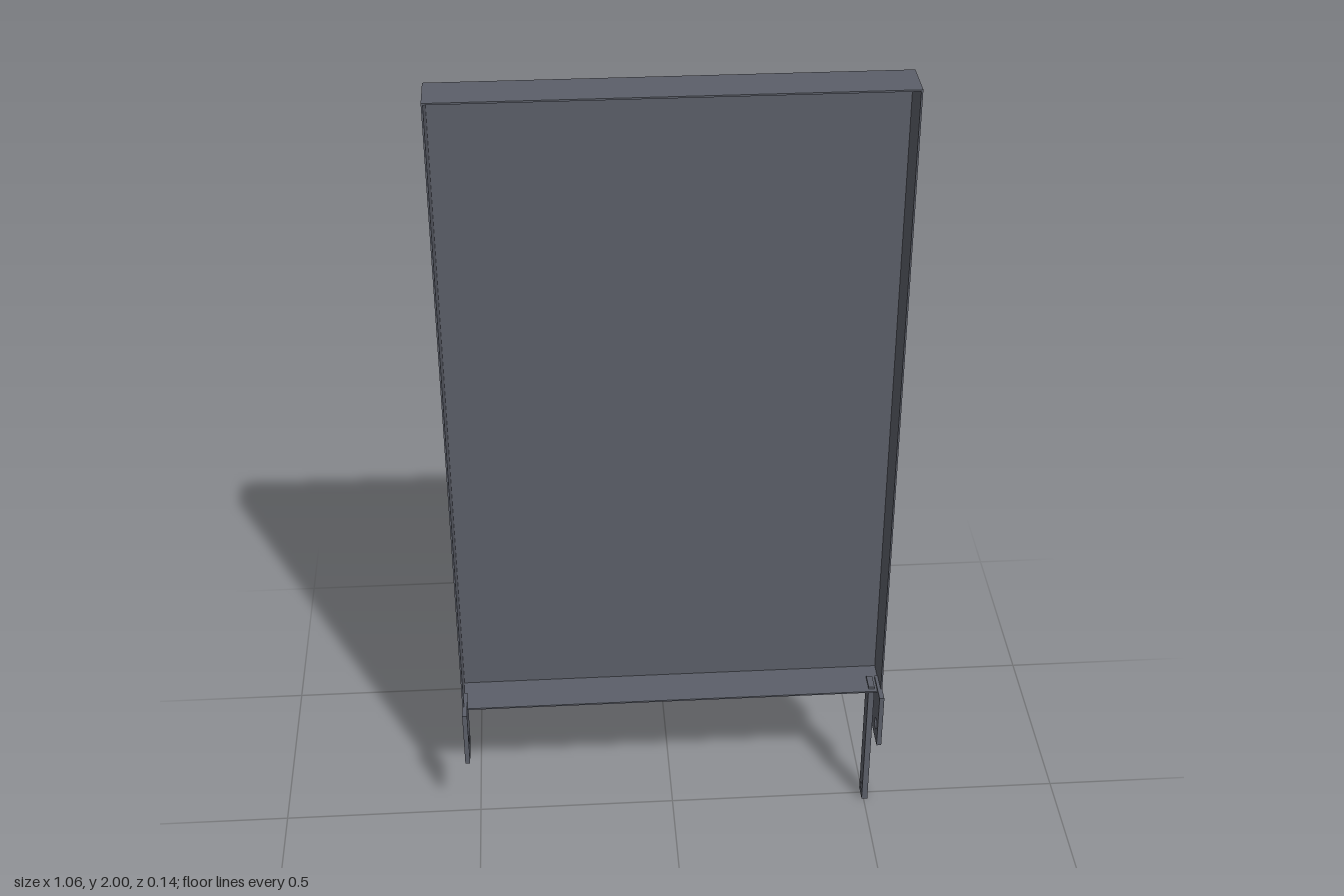
import * as THREE from 'three';

export function createModel() {
  const model = new THREE.Group();
  const steel = new THREE.MeshStandardMaterial({ color: 0x5c5f69 });
  steel.name = 'slate grey metal';

  const add = (parent, name, geometry) => {
    const mesh = new THREE.Mesh(geometry, steel);
    mesh.name = name;
    parent.add(mesh);
  };

  // Box given by its minimum and maximum corners
  const block = (x0, x1, y0, y1, z0, z1) =>
    new THREE.BoxGeometry(x1 - x0, y1 - y0, z1 - z0)
      .translate((x0 + x1) / 2, (y0 + y1) / 2, (z0 + z1) / 2);

  // Upright strap in the zy plane with one round bolt hole
  const strap = (x0, x1, y0, y1, z0, z1, holeZ, holeY, holeR) => {
    const shape = new THREE.Shape();
    shape.moveTo(z0, y0).lineTo(z1, y0).lineTo(z1, y1).lineTo(z0, y1).closePath();
    const hole = new THREE.Path();
    hole.absarc(holeZ, holeY, holeR, 0, Math.PI * 2, true);
    shape.holes.push(hole);
    return new THREE.ExtrudeGeometry(shape, { depth: x1 - x0, bevelEnabled: false, curveSegments: 16 })
      .rotateY(-Math.PI / 2)
      .translate(x1, 0, 0);
  };

  // Sheet metal tray, open to the front
  const W = 0.528, T = 0.004, bottom = 0.365, top = 2, back = -0.072, front = 0.035;
  const tray = new THREE.Group();
  tray.name = 'panelTray';
  model.add(tray);
  add(tray, 'backSheet', block(-W, W, bottom, top, back, back + T));
  add(tray, 'topFlange', block(-W, W, top - T, top, back + T, front));
  add(tray, 'bottomFlange', block(-W, W, bottom, bottom + T, back + T, front));
  add(tray, 'leftFlange', block(W - T, W, bottom + T, top - T, back + T, front));
  add(tray, 'rightFlange', block(-W, -W + T, bottom + T, top - T, back + T, front));

  // Hinge brackets at both lower corners
  add(model, 'leftBracket', strap(W - 0.012, W, 0.222, 0.375, -0.02, 0.072, 0.04, 0.268, 0.015));
  add(model, 'rightBracket', strap(-W, -W + 0.012, 0.222, 0.375, -0.02, 0.072, 0.04, 0.268, 0.015));

  // Long operating lever beside the left bracket
  add(model, 'lever', strap(0.495, 0.51, 0, 0.375, -0.02, 0.025, 0.004, 0.027, 0.01));

  return model;
}
